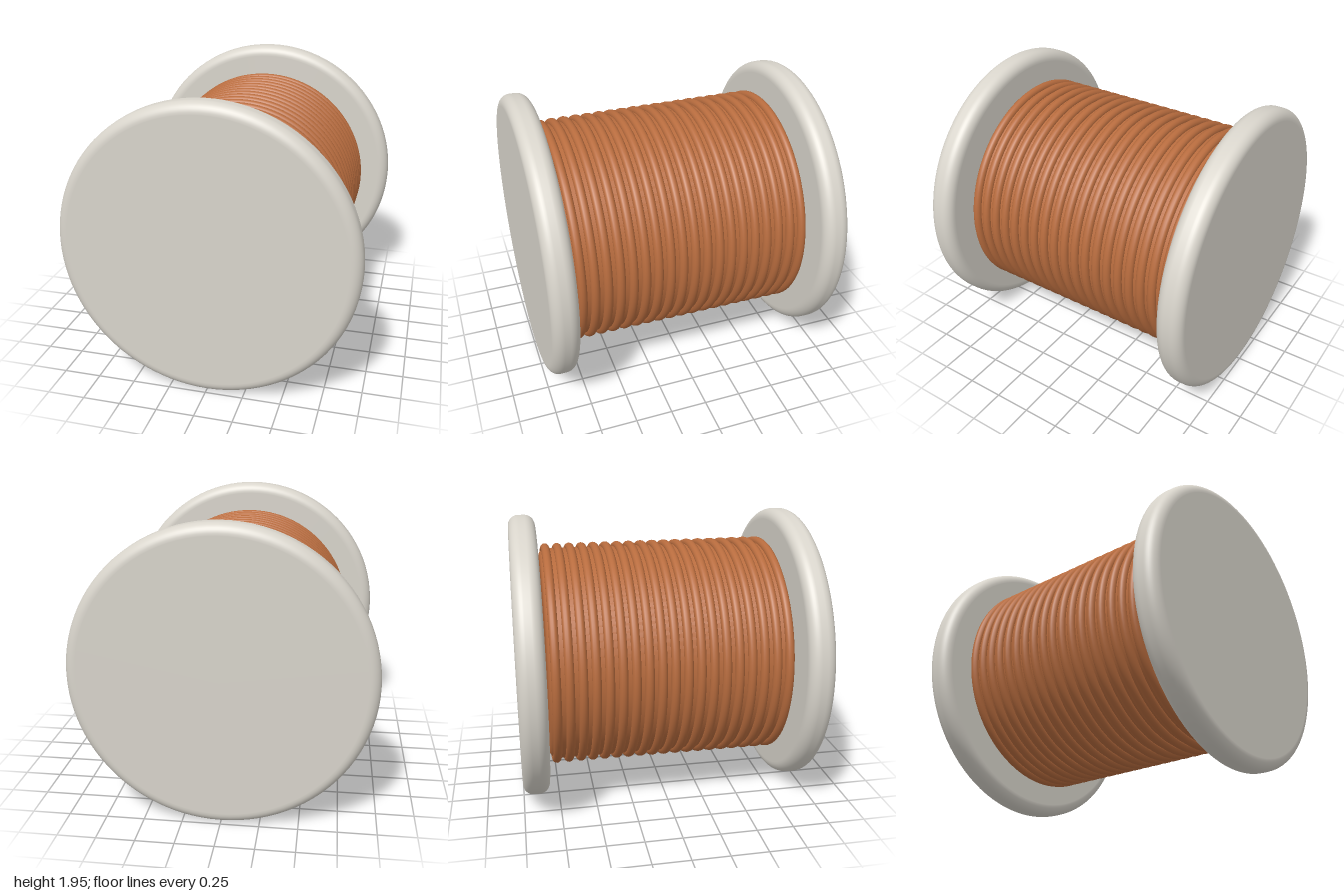
import * as THREE from 'three';

// Closed disc about z with rounded rims, centred at the origin
function roundedDisc(radius, depth, fillet, segments = 96) {
  const h = depth / 2;
  const flat = radius - fillet;
  const steps = 10;
  const profile = [new THREE.Vector2(0, -h), new THREE.Vector2(flat - 0.004, -h)];
  for (const [side, start] of [[-1, -Math.PI / 2], [1, 0]]) {
    for (let i = 0; i <= steps; i++) {
      const a = start + (i / steps) * (Math.PI / 2);
      profile.push(new THREE.Vector2(flat + fillet * Math.cos(a), side * (h - fillet) + fillet * Math.sin(a)));
    }
  }
  profile.push(new THREE.Vector2(flat - 0.004, h), new THREE.Vector2(0, h));
  return new THREE.LatheGeometry(profile, segments).rotateX(Math.PI / 2);
}

export function createModel() {
  const flangeGrey = new THREE.MeshStandardMaterial({ color: 0xd8d4cb });
  flangeGrey.name = 'warm light grey';
  const copper = new THREE.MeshStandardMaterial({ color: 0xb86c3e });
  copper.name = 'copper';

  const model = new THREE.Group();
  model.name = 'wireSpool';
  const axisHeight = 0.975;

  const add = (name, geometry, material, z) => {
    const mesh = new THREE.Mesh(geometry, material);
    mesh.name = name;
    mesh.position.set(0, axisHeight, z);
    model.add(mesh);
  };

  // End flanges
  const flange = roundedDisc(0.975, 0.18, 0.07);
  add('frontFlange', flange, flangeGrey, 0.91);
  add('backFlange', flange, flangeGrey, -0.91);

  // Wound core, just short of the flanges
  add('windingCore', roundedDisc(0.742, 1.612, 0.06), copper, 0);

  // Evenly spaced turns of wire
  const turns = 19;
  const pitch = 0.0843;
  const ring = new THREE.TorusGeometry(0.745, 0.03, 14, 96);
  for (let i = 0; i < turns; i++) {
    add(`wireTurn${i + 1}`, ring, copper, (i - (turns - 1) / 2) * pitch);
  }

  return model;
}
